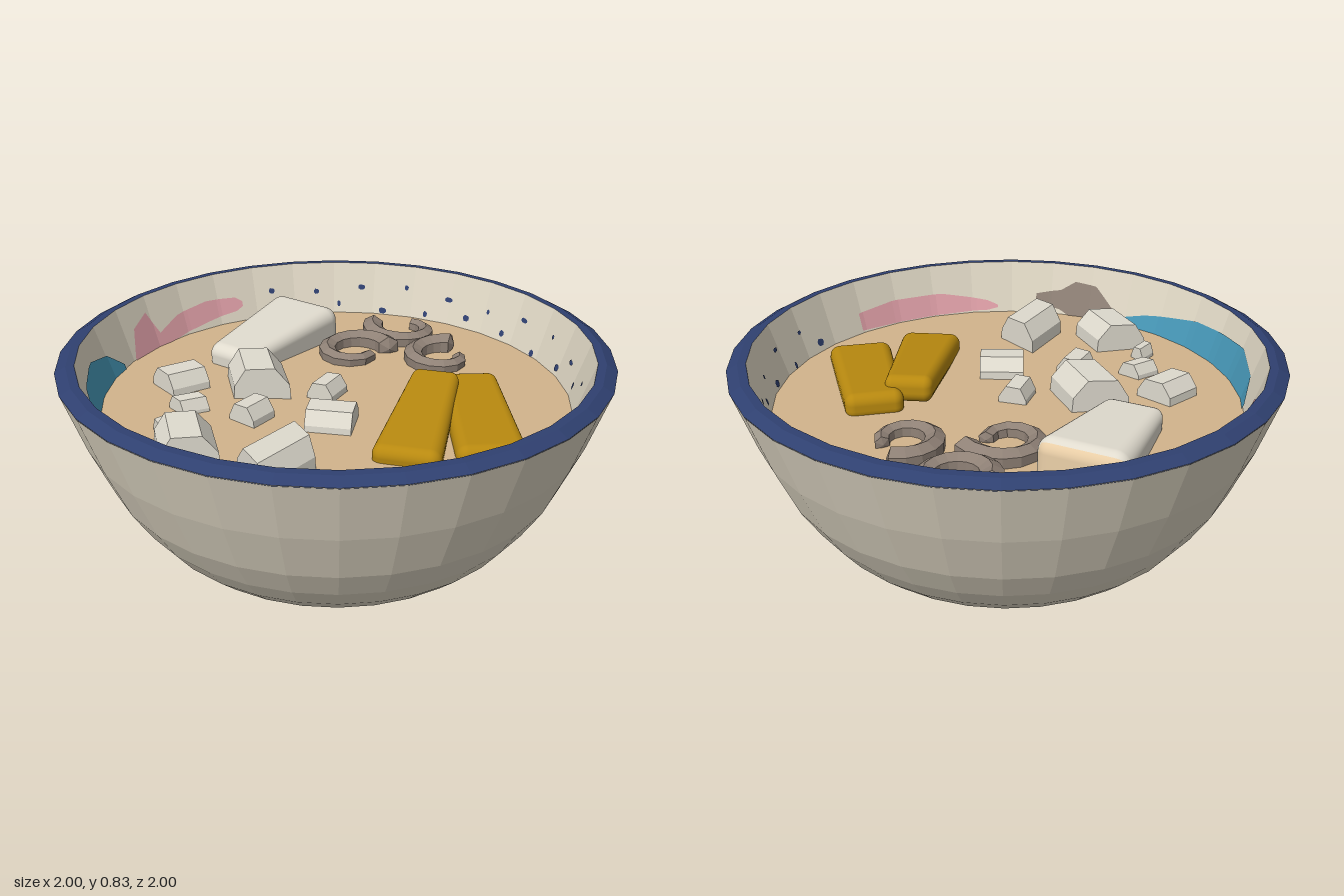
import * as THREE from 'three';
import { RoundedBoxGeometry } from 'three/addons/geometries/RoundedBoxGeometry.js';

const SIDES = 32, SOUP_Y = 0.63;

function material(name, color, extra = {}) {
  const m = new THREE.MeshStandardMaterial({ color, ...extra });
  m.name = name;
  return m;
}

export function createModel() {
  const flat = { flatShading: true };
  const both = { side: THREE.DoubleSide };
  const cream = material('cream ceramic', 0xdfd7c4, flat);
  const navy = material('navy glaze', 0x2f4070, { ...flat, ...both });
  const broth = material('broth', 0xd2b48c);
  const white = material('white vegetable', 0xdedace, flat);
  const root = material('pale root', 0xe0dbce);
  const peach = material('peach end', 0xe8cda6);
  const gold = material('golden slice', 0xb8890f);
  const taupe = material('taupe', 0x8f8176, { ...flat, ...both });
  const pink = material('pink glaze', 0xe0a0a8, { ...flat, ...both });
  const teal = material('teal glaze', 0x4798b8, { ...flat, ...both });

  const model = new THREE.Group();
  model.name = 'soupBowl';
  const add = (name, geometry, mat, parent = model) => {
    const mesh = new THREE.Mesh(geometry, mat);
    mesh.name = name;
    parent.add(mesh);
    return mesh;
  };
  const lathe = (pts) => new THREE.LatheGeometry(pts.map(([x, y]) => new THREE.Vector2(x, y)), SIDES);

  // Bowl shell, rim and broth
  add('bowlOutside', lathe([[0, 0], [0.2, 0.004], [0.33, 0.018], [0.46, 0.045], [0.56, 0.085], [0.64, 0.135],
    [0.71, 0.2], [0.775, 0.285], [0.845, 0.4], [0.925, 0.59], [1, 0.815]]), cream);
  add('bowlInside', lathe([[0.93, 0.835], [0.855, 0.605]]), cream);
  add('rim', lathe([[1, 0.812], [0.96, 0.834], [0.93, 0.835]]), navy);
  const surface = add('broth', new THREE.CircleGeometry(0.864, SIDES), broth);
  surface.rotation.x = -Math.PI / 2;
  surface.position.y = SOUP_Y;

  // Point just in front of the faceted inner wall
  const wallPoint = (deg, y) => {
    const a = THREE.MathUtils.degToRad(deg), step = 2 * Math.PI / SIDES;
    const off = THREE.MathUtils.euclideanModulo(a, step) - step / 2;
    const r = (0.86 + (y - 0.62) * 0.326) * Math.cos(step / 2) / Math.cos(off) - 0.004;
    return [r * Math.cos(a), y, r * Math.sin(a)];
  };
  // Painted strip given as columns of [angle, low, high]
  const paint = (name, cols, mat, parent, n = 8) => {
    const pos = [], idx = [];
    for (let i = 0; i < cols.length - 1; i++) {
      for (let k = i ? 1 : 0; k <= n; k++) {
        const [a, lo, hi] = cols[i].map((v, j) => THREE.MathUtils.lerp(v, cols[i + 1][j], k / n));
        pos.push(...wallPoint(a, lo), ...wallPoint(a, hi));
      }
    }
    for (let i = 0; i < pos.length / 3 - 2; i += 2) idx.push(i, i + 1, i + 2, i + 1, i + 3, i + 2);
    const g = new THREE.BufferGeometry();
    g.setAttribute('position', new THREE.Float32BufferAttribute(pos, 3));
    g.setIndex(idx);
    g.computeVertexNormals();
    add(name, g, mat, parent);
  };
  paint('pinkSwirl', [[-128, 0.69, 0.71], [-130, 0.675, 0.73], [-139, 0.658, 0.74], [-149, 0.636, 0.72],
    [-156, 0.625, 0.68], [-159, 0.62, 0.776], [-165, 0.62, 0.74], [-168, 0.62, 0.64]], pink);
  paint('pinkStroke', [[44, 0.64, 0.71], [55, 0.635, 0.725], [70, 0.635, 0.72], [83, 0.64, 0.68], [86, 0.65, 0.66]], pink);
  paint('tealStroke', [[121, 0.62, 0.65], [130, 0.62, 0.69], [148, 0.62, 0.74], [170, 0.62, 0.76],
    [180, 0.62, 0.72], [186, 0.62, 0.65]], teal);
  paint('taupeStroke', [[97, 0.67, 0.71], [104, 0.65, 0.73], [108, 0.62, 0.77], [114, 0.62, 0.76], [120, 0.62, 0.68]], taupe);

  // Small glaze specks along the back of the wall
  const specks = new THREE.Group();
  specks.name = 'specks';
  model.add(specks);
  for (let i = 0; i < 24; i++) {
    const a = -119 + i * 6.4, y = (i % 2 ? 0.66 : 0.735) + 0.015 * Math.sin(i * 2.3);
    const w = 0.8 + 0.35 * Math.sin(i * 1.7), h = 0.011 + 0.004 * Math.sin(i * 3.1);
    paint('speck', [[a - w, y - h * 0.4, y + h * 0.4], [a - w / 2, y - h, y + h],
      [a + w / 2, y - h, y + h * 0.8], [a + w, y - h * 0.4, y + h * 0.4]], navy, specks, 1);
  }

  // Rounded slab, tapering towards its start
  const slab = (name, from, to, w, h, taperX, taperY, radius, mat) => {
    const p0 = new THREE.Vector3(...from), p1 = new THREE.Vector3(...to), len = p0.distanceTo(p1);
    const g = new RoundedBoxGeometry(w, h, len, 4, radius);
    const p = g.attributes.position;
    for (let i = 0; i < p.count; i++) {
      const t = p.getZ(i) / len + 0.5;
      p.setX(i, p.getX(i) * THREE.MathUtils.lerp(taperX, 1, t));
      p.setY(i, p.getY(i) * THREE.MathUtils.lerp(taperY, 1, t));
    }
    const mesh = add(name, g, mat);
    mesh.position.copy(p0).add(p1).multiplyScalar(0.5);
    mesh.lookAt(p1);
  };
  slab('rootPiece', [-0.46, 0.635, -0.17], [-0.235, 0.665, -0.65], 0.33, 0.2, 0.66, 0.65, 0.055,
    [root, root, root, root, peach, root]);
  slab('goldenSliceTop', [0.362, 0.69, -0.09], [0.32, 0.635, 0.49], 0.24, 0.1, 0.72, 1, 0.04, gold);
  slab('goldenSliceUnder', [0.47, 0.655, -0.16], [0.605, 0.625, 0.4], 0.245, 0.1, 0.86, 1, 0.04, gold);

  // Diced vegetables: arched prisms placed by centre, axis and cross half-vectors
  const arch = new THREE.Shape([[-1, 0], [-0.94, 0.55], [-0.55, 0.97], [0.45, 1], [0.94, 0.6], [1, 0]]
    .map(([x, y]) => new THREE.Vector2(x, y)));
  const prism = new THREE.ExtrudeGeometry(arch, { depth: 2, bevelEnabled: false }).translate(0, 0, -1);
  const dice = new THREE.Group();
  dice.name = 'dicedVegetables';
  model.add(dice);
  // x, z, axis x, axis z, cross x, cross z, top above the broth
  [[-0.59, 0.02, 0.055, -0.05, 0.058, 0.05, 0.08],
    [-0.30, -0.02, 0.038, 0.094, -0.107, 0.018, 0.12],
    [-0.035, -0.007, -0.018, 0.054, -0.053, -0.015, 0.065],
    [-0.50, 0.21, 0.04, -0.028, 0.038, 0.03, 0.055],
    [-0.26, 0.235, -0.025, 0.051, -0.054, -0.03, 0.07],
    [0.027, 0.228, 0.083, 0, 0, 0.083, 0.075],
    [-0.53, 0.38, 0.024, -0.033, 0.022, 0.027, 0.05],
    [-0.41, 0.53, 0.04, 0.09, -0.1, 0.024, 0.11],
    [-0.086, 0.59, 0.059, -0.11, 0.067, 0.08, 0.11],
  ].forEach(([x, z, ax, az, bx, bz, h]) => {
    // Keep the basis right-handed so faces stay outward
    const s = ax * bz - az * bx > 0 ? -1 : 1;
    const m = new THREE.Matrix4().makeBasis(new THREE.Vector3(s * bx, 0, s * bz),
      new THREE.Vector3(0, h + 0.04, 0), new THREE.Vector3(ax, 0, az));
    if (m.determinant() < 0) m.scale(new THREE.Vector3(-1, 1, 1));
    m.setPosition(x, SOUP_Y - 0.04, z);
    add('dice', prism.clone().applyMatrix4(m), white, dice);
  });

  // Curled shrimps: tapered tubes along a spiral, ends closed
  const shrimp = (x, z, startDeg, sweepDeg, r0, r1) => {
    const pts = [];
    for (let i = 0; i <= 16; i++) {
      const t = i / 16, a = THREE.MathUtils.degToRad(startDeg - sweepDeg * t);
      const r = THREE.MathUtils.lerp(r0, r1, t);
      pts.push(new THREE.Vector3(x + r * Math.cos(a), 0.65 - 0.01 * t, z + r * Math.sin(a)));
    }
    const path = new THREE.CatmullRomCurve3(pts), segs = 14, ring = 6;
    const g = new THREE.TubeGeometry(path, segs, 0.046, ring);
    const p = g.attributes.position, v = new THREE.Vector3();
    for (let k = 0; k < p.count; k++) {
      const i = Math.floor(k / (ring + 1)), end = i === 0 || i === segs;
      const c = path.getPointAt(i / segs);
      const w = end ? 0 : THREE.MathUtils.lerp(1.05, 0.6, i / segs);
      v.fromBufferAttribute(p, k).sub(c).multiplyScalar(w);
      if (end) c.copy(path.getPointAt(i ? (segs - 0.8) / segs : 0.6 / segs));
      p.setXYZ(k, c.x + v.x, c.y + v.y, c.z + v.z);
    }
    add('shrimp', g, taupe);
  };
  shrimp(0.16, -0.645, 212, 310, 0.13, 0.085);
  shrimp(0.0, -0.385, -5, 380, 0.15, 0.06);
  shrimp(0.35, -0.39, -62, 350, 0.14, 0.06);

  return model;
}
